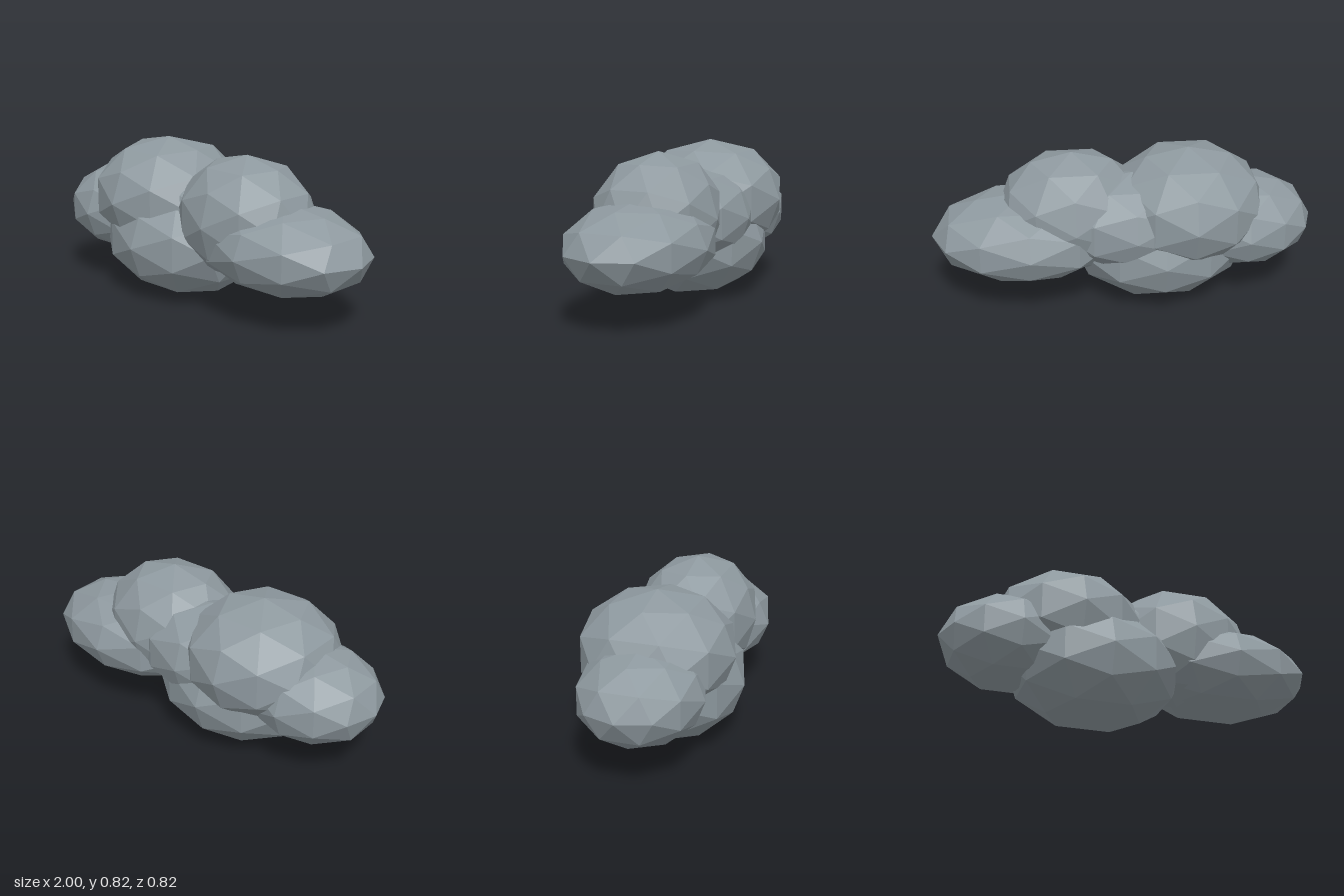
import * as THREE from 'three';

export function createModel() {
  const cloud = new THREE.Group();
  cloud.name = 'cloud';
  const cloudGrey = new THREE.MeshStandardMaterial({ color: 0x8e999f, flatShading: true });
  cloudGrey.name = 'cloudGrey';

  // One faceted ball, stretched into each puff
  const ball = new THREE.IcosahedronGeometry(1, 1);

  // name, centre, radii
  const puffs = [
    ['rightPuff', [-0.626, 0.393, 0.019], [0.374, 0.241, 0.32]],
    ['upperRightPuff', [-0.334, 0.511, -0.002], [0.415, 0.308, 0.405]],
    ['lowerPuff', [-0.187, 0.301, 0.021], [0.47, 0.301, 0.388]],
    ['middlePuff', [-0.04, 0.447, -0.045], [0.43, 0.264, 0.305]],
    ['upperLeftPuff', [0.265, 0.486, 0.017], [0.396, 0.324, 0.325]],
    ['leftPuff', [0.499, 0.375, -0.002], [0.499, 0.231, 0.356]],
  ];
  for (const [name, centre, radii] of puffs) {
    const puff = new THREE.Mesh(ball, cloudGrey);
    puff.name = name;
    puff.position.set(...centre);
    puff.scale.set(...radii);
    cloud.add(puff);
  }
  return cloud;
}
